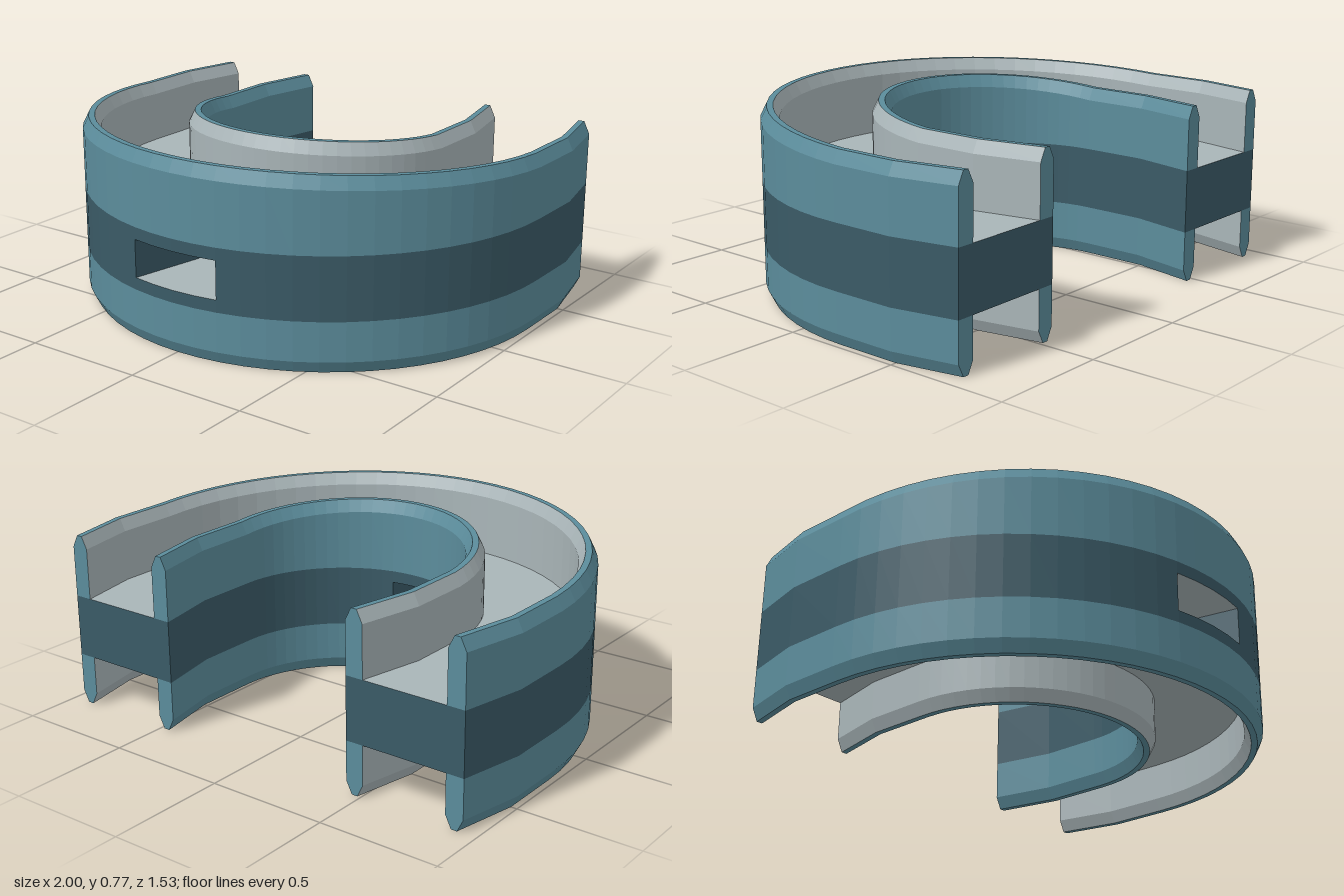
import * as THREE from 'three';

// U-shaped tray: an H-shaped cross-section swept round a half circle with bent-in straight legs.
const ARC = 32, CZ = -0.235;
const R0 = 0.49, R1 = 0.565, R2 = 0.925, R3 = 1;   // inner wall and outer wall radii
const TOP = 0.725, RISE = 0.045, B = 0.025, BH = 0.05; // rim height, rise at the front, bevel
const LO = 0.21, HI = 0.465;                       // middle web
const H0 = 0.26, H1 = 0.415;                       // slot through the web

// Stations from the left leg (+x) round the front to the right leg
const stations = [{ a: Math.PI / 2, z: -0.765, shift: 0.055 }, { a: Math.PI / 2, z: -0.5, shift: 0 }];
for (let i = 0; i <= ARC; i++) stations.push({ a: Math.PI / 2 - (Math.PI * i) / ARC, z: CZ, shift: 0 });
stations.push({ a: -Math.PI / 2, z: -0.5, shift: 0 }, { a: -Math.PI / 2, z: -0.765, shift: 0.055 });
const LAST = stations.length - 1, MID = LAST / 2, S0 = MID - 2, S1 = MID + 2;

function place(i, [r, y]) {
  const s = stations[i], q = r - s.shift;
  const lift = y > 0.6 ? RISE * Math.max(0, Math.cos(s.a)) : 0;
  return [q * Math.sin(s.a), y + lift, s.z + q * Math.cos(s.a)];
}

// Sweeps an open profile of [radius, height] points between two stations
function sweep(out, profile, from = 0, to = LAST) {
  for (let i = from; i < to; i++) {
    for (let j = 0; j < profile.length - 1; j++) {
      const a = place(i, profile[j]), b = place(i, profile[j + 1]);
      const c = place(i + 1, profile[j + 1]), d = place(i + 1, profile[j]);
      out.push(...a, ...b, ...c, ...a, ...c, ...d);
    }
  }
}

// Flat convex face across one station
function cap(out, i, profile, flip) {
  const p = profile.map((q) => place(i, q));
  for (let k = 1; k < p.length - 1; k++) {
    out.push(...p[0], ...(flip ? p[k + 1] : p[k]), ...(flip ? p[k] : p[k + 1]));
  }
}

function makeMesh(name, color, out) {
  const g = new THREE.BufferGeometry();
  g.setAttribute('position', new THREE.Float32BufferAttribute(out, 3));
  g.computeVertexNormals();
  const m = new THREE.Mesh(g, new THREE.MeshStandardMaterial({ color, flatShading: true }));
  m.name = name;
  return m;
}

export function createModel() {
  const group = new THREE.Group();
  group.name = 'mouthTray';
  const TEAL = 0x5b8c9b, DARK = 0x3a5a66, PALE = 0xa9b5b8;

  // Outer and inner walls, above and below the web, with bevelled rims
  const walls = [['outerWall', R2, R3], ['innerWall', R0, R1]];
  for (const [name, a, b] of walls) {
    const out = [];
    const upper = [[b, HI], [b, TOP - BH], [b - B, TOP], [a + B, TOP], [a, TOP - BH], [a, HI]];
    const lower = [[a, LO], [a, BH], [a + B, 0], [b - B, 0], [b, BH], [b, LO]];
    const outer = name === 'outerWall';
    sweep(out, outer ? upper.slice(0, 4) : upper.slice(2));
    sweep(out, outer ? lower.slice(2) : lower.slice(0, 4));
    for (const shape of [upper, lower]) {
      cap(out, 0, shape, true);
      cap(out, LAST, shape, false);
    }
    group.add(makeMesh(name, TEAL, out));
  }

  // Pale lining of the upper and lower channels
  const upperLining = [], lowerLining = [];
  sweep(upperLining, [[R2 + B * 2 - B, TOP], [R2, TOP - BH], [R2, HI], [R1, HI], [R1, TOP - BH], [R1 - B, TOP]]);
  sweep(lowerLining, [[R1 - B, 0], [R1, BH], [R1, LO], [R2, LO], [R2, BH], [R2 + B, 0]]);
  group.add(makeMesh('upperChannel', PALE, upperLining), makeMesh('lowerChannel', PALE, lowerLining));

  // Dark middle band, open at the front slot
  const band = [];
  for (const [from, to, ranges] of [
    [0, S0, [[LO, HI]]],
    [S0, S1, [[LO, H0], [H1, HI]]],
    [S1, LAST, [[LO, HI]]],
  ]) {
    for (const [y0, y1] of ranges) {
      sweep(band, [[R3, y0], [R3, y1]], from, to);
      sweep(band, [[R0, y1], [R0, y0]], from, to);
    }
  }
  const end = [[R0, LO], [R3, LO], [R3, HI], [R0, HI]];
  cap(band, 0, end, true);
  cap(band, LAST, end, false);

  // Slot side walls, floor and ceiling
  const side = [[R0, H0], [R3, H0], [R3, H1], [R0, H1]];
  cap(band, S0, side, false);
  cap(band, S1, side, true);
  const slot = [];
  sweep(slot, [[R3, H0], [R0, H0]], S0, S1);
  sweep(slot, [[R0, H1], [R3, H1]], S0, S1);
  group.add(makeMesh('middleBand', DARK, band), makeMesh('frontSlot', PALE, slot));

  return group;
}
